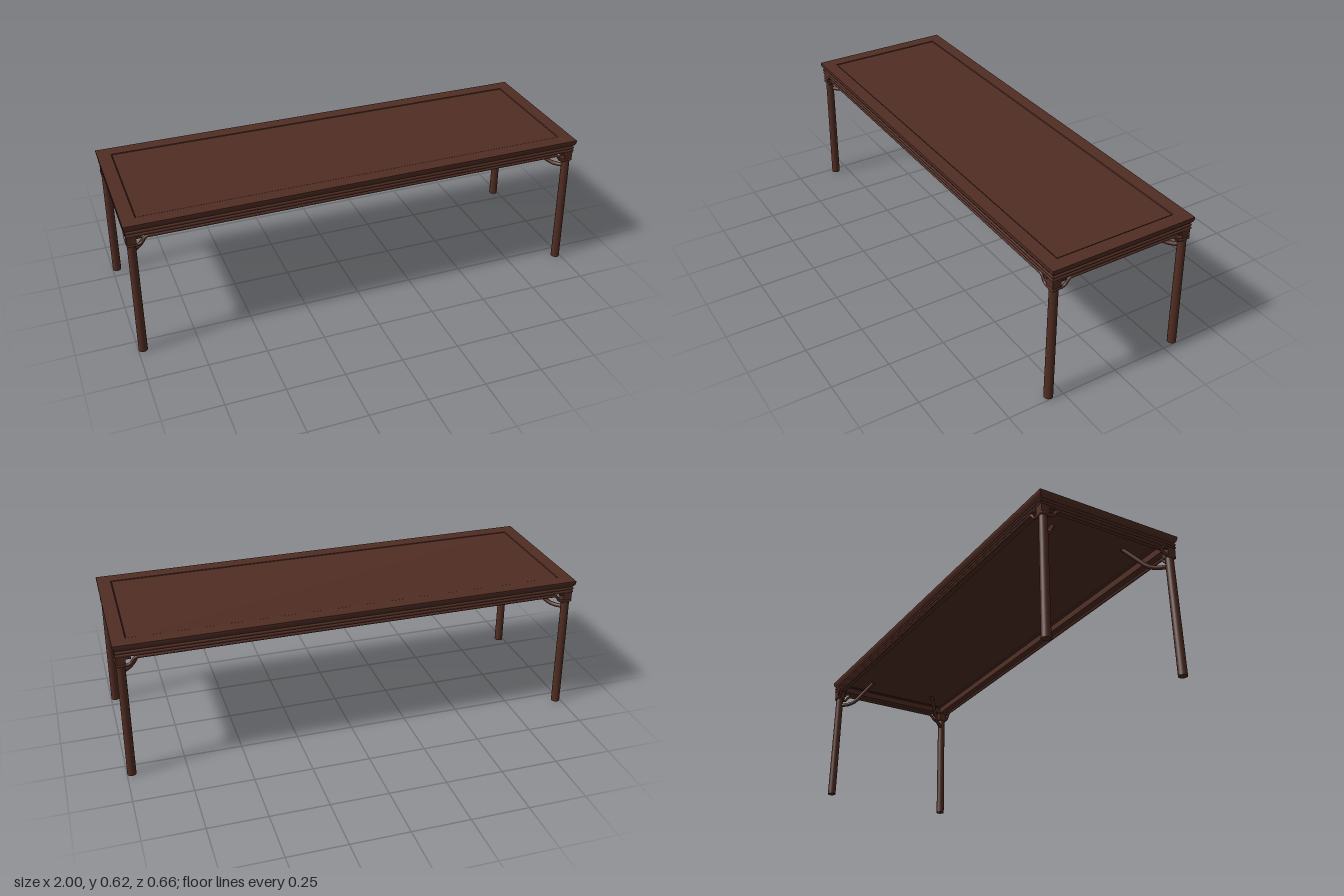
import * as THREE from 'three';
import { toCreasedNormals } from 'three/addons/utils/BufferGeometryUtils.js';

const HALF_X = 1, HALF_Z = 0.328;

// Sweeps a closed profile of [inset from table edge, y] round a mitred rectangle.
// The profile runs up the outer face, then inwards, then back down.
function frameGeometry(profile) {
  const corners = [[1, 1], [1, -1], [-1, -1], [-1, 1]];
  const pos = [];
  const at = (c, [inset, y]) => [c[0] * (HALF_X - inset), y, c[1] * (HALF_Z - inset)];
  for (let k = 0; k < 4; k++) {
    const c0 = corners[k], c1 = corners[(k + 1) % 4];
    profile.forEach((p, i) => {
      const q = profile[(i + 1) % profile.length];
      const a = at(c0, p), b = at(c1, p), c = at(c1, q), d = at(c0, q);
      pos.push(...a, ...b, ...c, ...a, ...c, ...d);
    });
  }
  const g = new THREE.BufferGeometry();
  g.setAttribute('position', new THREE.Float32BufferAttribute(pos, 3));
  return toCreasedNormals(g, 0.7);
}

// Half-round moulding with its outer face bulging to the given inset
function roundRail(inset, y0, y1, depth) {
  const r = (y1 - y0) / 2, profile = [];
  for (let i = 0; i <= 8; i++) {
    const a = -Math.PI / 2 + (i / 8) * Math.PI;
    profile.push([inset + r - r * Math.cos(a), y0 + r + r * Math.sin(a)]);
  }
  profile.push([inset + depth, y1], [inset + depth, y0]);
  return frameGeometry(profile);
}

export function createModel() {
  const model = new THREE.Group();
  model.name = 'longTable';
  const wood = new THREE.MeshStandardMaterial({ color: 0x502d23 });
  wood.name = 'dark wood';

  const add = (name, geometry, x = 0, y = 0, z = 0) => {
    const mesh = new THREE.Mesh(geometry, wood);
    mesh.name = name;
    mesh.position.set(x, y, z);
    model.add(mesh);
    return mesh;
  };

  // Table top: moulded frame round a slightly sunken panel
  add('topFrame', frameGeometry([
    [0.011, 0.587], [0.006, 0.592], [0.002, 0.599], [0, 0.607], [0, 0.6165],
    [0.058, 0.6165], [0.06, 0.612], [0.06, 0.587],
  ]));
  add('topPanel', new THREE.BoxGeometry(2 * (HALF_X - 0.062), 0.025, 2 * (HALF_Z - 0.062)), 0, 0.602, 0);
  add('panelBacking', new THREE.BoxGeometry(2 * (HALF_X - 0.05), 0.012, 2 * (HALF_Z - 0.05)), 0, 0.597, 0);

  // Two rounded rails below the top
  add('upperRail', roundRail(0.006, 0.573, 0.587, 0.04));
  add('middleRail', roundRail(0.006, 0.559, 0.573, 0.04));

  // Lower strand: straight between the legs, dipping to wrap round each leg
  const r = 0.0063, inset = 0.0125, high = 0.5525, low = 0.521;
  const strand = (half) => {
    const v = (u, y) => new THREE.Vector3(u, y, 0);
    const path = new THREE.CurvePath();
    const a = half - 0.035, b = half - 0.083;
    path.add(new THREE.LineCurve3(v(-half, low), v(-a, low)));
    path.add(new THREE.CubicBezierCurve3(v(-a, low), v(-a + 0.03, low), v(-b - 0.025, high), v(-b, high)));
    path.add(new THREE.LineCurve3(v(-b, high), v(b, high)));
    path.add(new THREE.CubicBezierCurve3(v(b, high), v(b + 0.025, high), v(a - 0.03, low), v(a, low)));
    path.add(new THREE.LineCurve3(v(a, low), v(half, low)));
    return new THREE.TubeGeometry(path, Math.round(half * 320), r, 12);
  };
  const sx = HALF_X - inset, sz = HALF_Z - inset;
  const longStrand = strand(sx), shortStrand = strand(sz);
  for (const s of [1, -1]) {
    add('longStrand', longStrand, 0, 0, s * sz);
    add('shortStrand', shortStrand, s * sx, 0, 0).rotation.y = Math.PI / 2;
  }

  // Leg: tapered cylinder, splayed outwards towards the foot on both axes
  const legHeight = 0.588;
  const legGeometry = (dx, dz) => {
    const g = new THREE.CylinderGeometry(0.0175, 0.019, legHeight, 28, 1);
    const p = g.attributes.position;
    for (let i = 0; i < p.count; i++) {
      const splay = 0.0085 * (0.5 - p.getY(i) / legHeight);
      p.setX(i, p.getX(i) + dx * splay);
      p.setZ(i, p.getZ(i) + dz * splay);
    }
    return g;
  };

  // Curved brace rising diagonally from the leg to the underside of the top
  const braceGeometry = (dx, dz) => {
    const v = (d, y) => new THREE.Vector3(-dx * d, y, -dz * d);
    const path = new THREE.CurvePath();
    path.add(new THREE.LineCurve3(v(0, 0.484), v(0.025, 0.484)));
    path.add(new THREE.CubicBezierCurve3(v(0.025, 0.484), v(0.045, 0.484), v(0.06, 0.496), v(0.072, 0.512)));
    path.add(new THREE.LineCurve3(v(0.072, 0.512), v(0.13, 0.594)));
    return new THREE.TubeGeometry(path, 40, 0.009, 14);
  };

  const lx = 0.9715, lz = 0.2995;
  for (const dx of [1, -1]) {
    for (const dz of [1, -1]) {
      add('leg', legGeometry(dx, dz), dx * lx, legHeight / 2, dz * lz);
      add('brace', braceGeometry(dx, dz), dx * lx, 0, dz * lz);
      add('strandCorner', new THREE.SphereGeometry(r, 14, 10), dx * sx, low, dz * sz);
      // Collar behind the strand, with a small spandrel along each side
      add('collar', new THREE.BoxGeometry(0.038, 0.042, 0.038), dx * (lx + 0.0005), 0.54, dz * (lz + 0.0005));
      add('spandrelLong', new THREE.BoxGeometry(0.022, 0.01, 0.01), dx * (lx - 0.029), 0.555, dz * sz);
      add('spandrelShort', new THREE.BoxGeometry(0.01, 0.01, 0.022), dx * sx, 0.555, dz * (lz - 0.029));
    }
  }
  return model;
}
